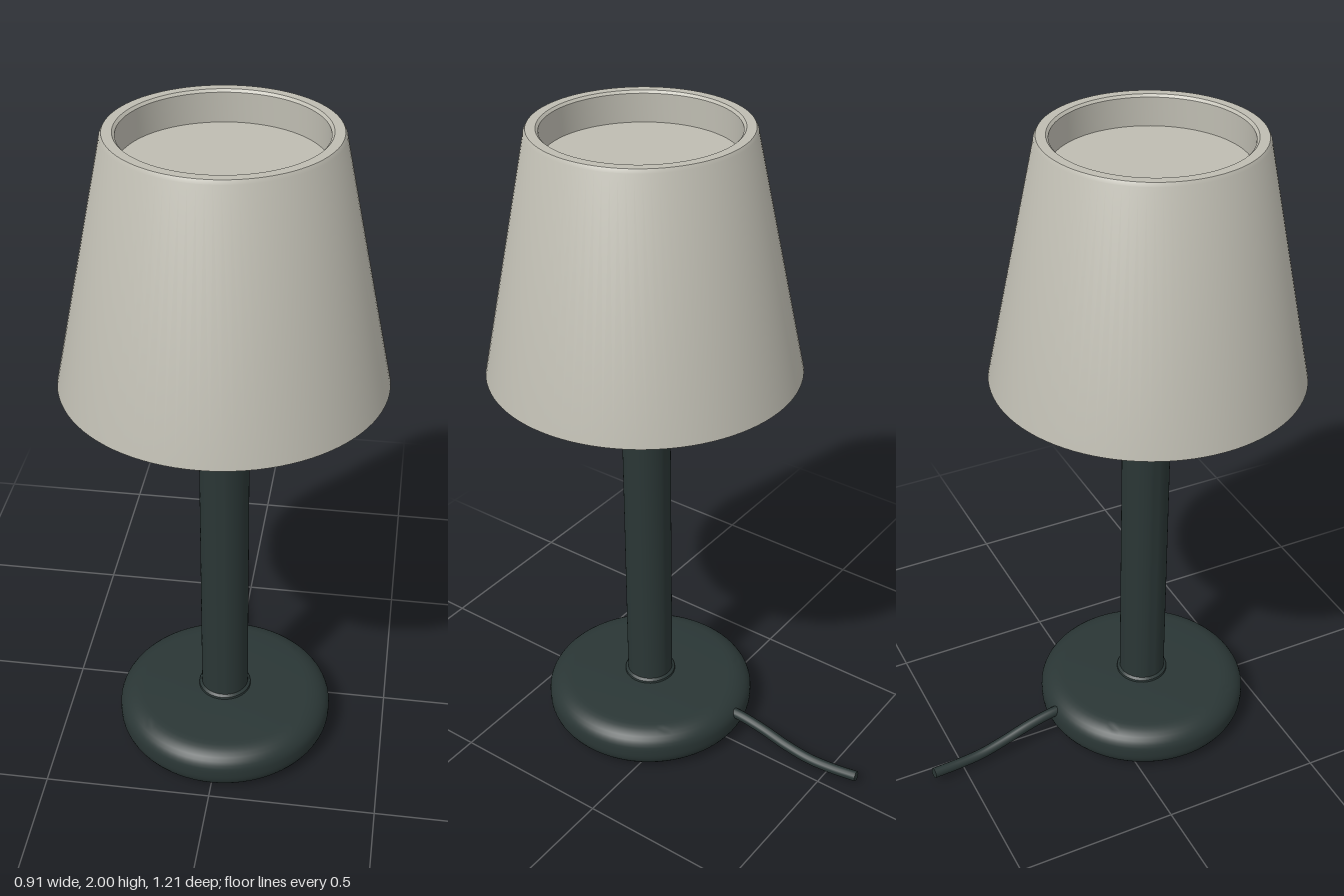
import * as THREE from 'three';
import { toCreasedNormals } from 'three/addons/utils/BufferGeometryUtils.js';

const shadeMat = new THREE.MeshStandardMaterial({ color: 0xbebcb1 });
shadeMat.name = 'warm grey shade';
const bodyMat = new THREE.MeshStandardMaterial({ color: 0x2a3635 });
bodyMat.name = 'dark green grey';

// Turned part from [radius, height] pairs, sharp only at strong edges
function turned(name, points, material, segments = 80) {
  const profile = points.map(([r, y]) => new THREE.Vector2(r, y));
  const geometry = toCreasedNormals(new THREE.LatheGeometry(profile, segments), 0.6);
  const mesh = new THREE.Mesh(geometry, material);
  mesh.name = name;
  return mesh;
}

// Quarter arc of profile points around a centre
function arc(cx, cy, rx, ry, from, to, steps = 8) {
  return Array.from({ length: steps + 1 }, (_, i) => {
    const a = from + (to - from) * i / steps;
    return [cx + rx * Math.cos(a), cy + ry * Math.sin(a)];
  });
}

export function createModel() {
  const model = new THREE.Group();
  model.name = 'tableLamp';
  const lamp = new THREE.Group();
  lamp.name = 'lamp';
  lamp.position.z = 0.15;
  model.add(lamp);

  // Rounded disc base
  lamp.add(turned('base', [
    [0, 0.005], [0.2, 0.005],
    ...arc(0.265, 0.065, 0.065, 0.06, -Math.PI / 2, 0),
    ...arc(0.255, 0.085, 0.075, 0.058, 0, Math.PI / 2),
    [0.15, 0.148], [0, 0.15],
  ], bodyMat));

  // Straight post with a small foot
  lamp.add(turned('post', [
    [0.082, 0.14], [0.08, 0.156], [0.072, 0.162], [0.072, 1.23],
  ], bodyMat, 48));

  // Socket with a collar, tapering upward
  lamp.add(turned('socket', [
    [0.07, 1.205], [0.088, 1.21], [0.095, 1.22], [0.096, 1.245], [0.091, 1.255],
    [0.076, 1.52], [0, 1.52],
  ], bodyMat, 48));

  // Bulb hidden inside the shade
  lamp.add(turned('bulb', [
    [0, 1.5], [0.08, 1.5], ...arc(0, 1.66, 0.16, 0.15, -0.9, Math.PI / 2, 14),
  ], shadeMat, 40));

  // Thick hollow shade with a recessed lid
  lamp.add(turned('shade', [
    [0, 1.87], [0.293, 1.87], [0.412, 1.28], [0.457, 1.28],
    [0.311, 1.99], [0.305, 2], [0.278, 2], [0.271, 1.993], [0.271, 1.91], [0, 1.91],
  ], shadeMat, 96));

  // Power cord leaving the back of the base
  const path = new THREE.CatmullRomCurve3([
    [-0.022, 0.1, -0.14], [-0.025, 0.098, -0.19], [-0.029, 0.082, -0.27], [-0.034, 0.055, -0.36],
    [-0.04, 0.038, -0.44], [-0.047, 0.036, -0.52], [-0.056, 0.041, -0.604],
  ].map((p) => new THREE.Vector3(...p)));
  const cord = new THREE.Mesh(new THREE.TubeGeometry(path, 40, 0.016, 14), bodyMat);
  cord.name = 'cord';
  model.add(cord);
  const end = new THREE.Mesh(new THREE.CircleGeometry(0.016, 14), bodyMat);
  end.name = 'cordEnd';
  end.position.copy(path.getPoint(1));
  end.lookAt(end.position.clone().add(path.getTangent(1)));
  model.add(end);

  return model;
}
